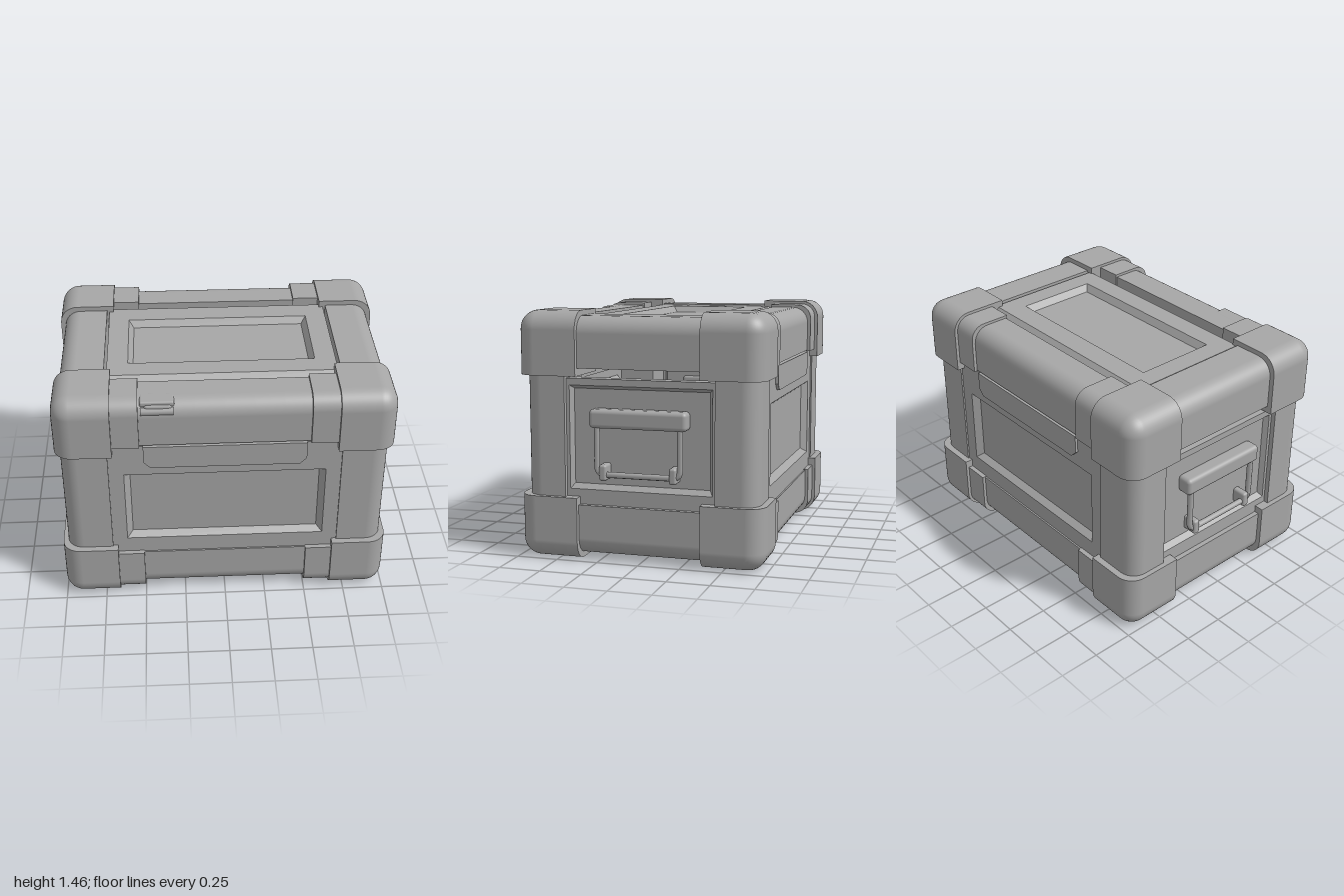
import * as THREE from 'three';
import { RoundedBoxGeometry } from 'three/addons/geometries/RoundedBoxGeometry.js';

const MID = 0.73; // half height of the crate

// Block from lo to hi whose + edges are rounded on the axes flagged in `round`,
// mirrored by the signs in `sign`.
function outerBlock(lo, hi, r, round, sign) {
  const n = 6;
  const geo = new THREE.BoxGeometry(1, 1, 1, n, n, n);
  const pos = geo.attributes.position, nor = geo.attributes.normal;
  for (let i = 0; i < pos.count; i++) {
    const p = [pos.getX(i), pos.getY(i), pos.getZ(i)];
    const nv = [nor.getX(i), nor.getY(i), nor.getZ(i)];
    const core = [], d = [];
    for (let a = 0; a < 3; a++) {
      const k = Math.round((p[a] + 0.5) * n); // grid step 0..n
      core[a] = round[a] ? (k === 0 ? lo[a] : hi[a] - r) : lo[a] + (hi[a] - lo[a]) * k / n;
      d[a] = round[a] && k > 0 ? (k - 1) / (n - 1) : 0;
    }
    const len = Math.hypot(...d), m = Math.max(...d);
    const outer = nv.some((v, a) => v > 0.5 && round[a]);
    const q = core.map((c, a) => (c + (len ? r * d[a] * m / len : 0)) * sign[a]);
    const w = (outer && len ? d.map(v => v / len) : nv).map((v, a) => v * sign[a]);
    pos.setXYZ(i, q[0], q[1] + MID, q[2]);
    nor.setXYZ(i, ...w);
  }
  if (sign[0] * sign[1] * sign[2] < 0) {
    const ix = geo.index.array;
    for (let i = 0; i < ix.length; i += 3) [ix[i], ix[i + 1]] = [ix[i + 1], ix[i]];
  }
  return geo;
}

// Stepped panel facing +z: rings of [x0, x1, y0, y1, z], closed by the last ring
function panelGeometry(rings) {
  const v = [], idx = [];
  rings.forEach(([x0, x1, y0, y1, z]) => v.push(x0, y0, z, x1, y0, z, x1, y1, z, x0, y1, z));
  for (let k = 0; k < rings.length - 1; k++) {
    for (let j = 0; j < 4; j++) {
      const a = k * 4 + j, b = k * 4 + (j + 1) % 4;
      idx.push(a, b, b + 4, a, b + 4, a + 4);
    }
  }
  const e = (rings.length - 1) * 4;
  idx.push(e, e + 1, e + 2, e, e + 2, e + 3);
  const geo = new THREE.BufferGeometry();
  geo.setAttribute('position', new THREE.Float32BufferAttribute(v, 3));
  geo.setIndex(idx);
  const flat = geo.toNonIndexed();
  flat.computeVertexNormals();
  return flat;
}

export function createModel() {
  const root = new THREE.Group();
  root.name = 'crate';
  const grey = new THREE.MeshStandardMaterial({ color: 0xa6a6a6, side: THREE.DoubleSide });
  grey.name = 'grey';
  const add = (name, geo, parent = root) => {
    const mesh = new THREE.Mesh(geo, grey);
    mesh.name = name;
    parent.add(mesh);
    return mesh;
  };
  const S = [1, -1];

  // Corner caps and the sleeves beside them
  for (const x of S) for (const y of S) for (const z of S) {
    add('cornerCap', outerBlock([0.66, 0.355, 0.37], [1, 0.73, 0.74], 0.11, [1, 1, 1], [x, y, z]));
    add('sleeve', outerBlock([0.5, 0.405, 0.45], [0.68, 0.712, 0.72], 0.09, [0, 1, 1], [x, y, z]));
  }

  // Beams along the edges and upright posts
  for (const a of S) for (const b of S) {
    add('longBeam', outerBlock([-0.52, 0.41, 0.46], [0.52, 0.695, 0.7], 0.1, [0, 1, 1], [1, a, b]));
    add('sideBeam', outerBlock([0.7, 0.4, -0.38], [0.97, 0.7, 0.38], 0.1, [1, 1, 0], [a, b, 1]));
    add('post', outerBlock([0.69, -0.4, 0.45], [0.97, 0.4, 0.7], 0.1, [1, 0, 1], [a, 1, b]));
  }

  // Front and back panels with the lid flap
  const flap = new THREE.Shape();
  flap.moveTo(-0.48, 1.13);
  flap.lineTo(-0.48, 1.02);
  flap.lineTo(-0.44, 0.98);
  flap.lineTo(0.44, 0.98);
  flap.lineTo(0.48, 1.02);
  flap.lineTo(0.48, 1.13);
  flap.closePath();
  for (const s of S) {
    const wall = new THREE.Group();
    wall.name = s > 0 ? 'frontWall' : 'backWall';
    wall.rotation.y = s > 0 ? 0 : Math.PI;
    root.add(wall);
    add('widePanel', panelGeometry([
      [-0.705, 0.705, 0.31, 1.125, 0.6],
      [-0.705, 0.705, 0.31, 1.125, 0.69],
      [-0.6, 0.6, 0.43, 0.92, 0.69],
      [-0.565, 0.565, 0.46, 0.89, 0.65],
    ]), wall);
    const f = new THREE.ExtrudeGeometry(flap, { depth: 0.04, bevelEnabled: false });
    f.translate(0, 0, 0.667);
    add('lidFlap', f, wall);
  }

  // Side panels with carrying handles
  for (const s of S) {
    const wall = new THREE.Group();
    wall.name = s > 0 ? 'leftWall' : 'rightWall';
    wall.rotation.y = s * Math.PI / 2;
    root.add(wall);
    add('sidePanel', panelGeometry([
      [-0.455, 0.455, 0.305, 1.07, 0.86],
      [-0.455, 0.455, 0.305, 1.07, 0.94],
      [-0.43, 0.43, 0.42, 1.03, 0.94],
      [-0.41, 0.41, 0.45, 1.01, 0.91],
    ]), wall);
    const grip = new RoundedBoxGeometry(0.585, 0.11, 0.1, 3, 0.025);
    grip.translate(0, 0.845, 0.95);
    add('handleGrip', grip, wall);

    // U-shaped rod below the grip
    const V = (x, y) => new THREE.Vector3(x, y, 0.973);
    const path = new THREE.CurvePath();
    path.add(new THREE.LineCurve3(V(-0.25, 0.82), V(-0.25, 0.57)));
    path.add(new THREE.QuadraticBezierCurve3(V(-0.25, 0.57), V(-0.25, 0.52), V(-0.2, 0.52)));
    path.add(new THREE.LineCurve3(V(-0.2, 0.52), V(0.2, 0.52)));
    path.add(new THREE.QuadraticBezierCurve3(V(0.2, 0.52), V(0.25, 0.52), V(0.25, 0.57)));
    path.add(new THREE.LineCurve3(V(0.25, 0.57), V(0.25, 0.82)));
    add('handleRod', new THREE.TubeGeometry(path, 60, 0.018, 8), wall);
    for (const x of S) {
      const clip = new RoundedBoxGeometry(0.045, 0.095, 0.1, 2, 0.015);
      clip.translate(x * 0.21, 0.533, 0.95);
      add('handleClip', clip, wall);
    }
  }

  // Lid panel with sloping rim and recess
  add('lidPanel', panelGeometry([
    [-0.69, 0.69, -0.46, 0.46, 1.36],
    [-0.685, 0.685, -0.38, 0.4, 1.42],
    [-0.56, 0.56, -0.25, 0.26, 1.42],
    [-0.53, 0.53, -0.22, 0.23, 1.38],
  ])).rotation.x = -Math.PI / 2;

  // Floor
  add('floor', panelGeometry([
    [-0.72, 0.72, -0.48, 0.48, -0.12],
    [-0.72, 0.72, -0.48, 0.48, -0.07],
  ])).rotation.x = Math.PI / 2;

  // Latch on the front lid beam
  const latch = new THREE.Group();
  latch.name = 'latch';
  root.add(latch);
  const base = new RoundedBoxGeometry(0.17, 0.11, 0.12, 2, 0.025);
  base.translate(-0.385, 1.357, 0.63);
  add('latchBase', base, latch);
  const tab = new RoundedBoxGeometry(0.2, 0.035, 0.1, 2, 0.012);
  tab.translate(-0.39, 1.408, 0.63);
  add('latchTab', tab, latch);
  const pin = new THREE.CylinderGeometry(0.025, 0.025, 0.19, 10);
  pin.rotateZ(Math.PI / 2);
  pin.translate(-0.39, 1.365, 0.68);
  add('latchPin', pin, latch);

  return root;
}
